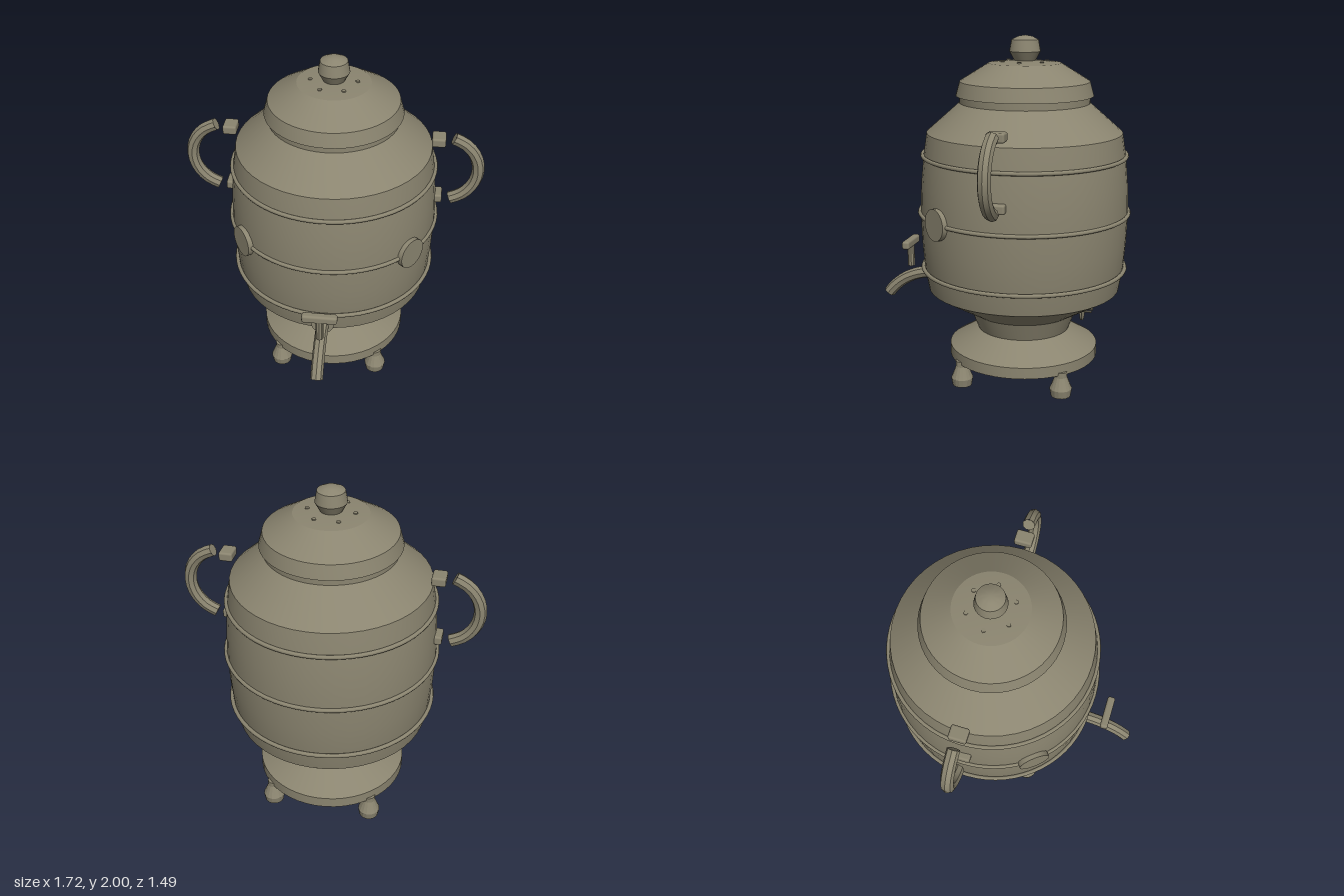
import * as THREE from 'three';
import { toCreasedNormals } from 'three/addons/utils/BufferGeometryUtils.js';
import { RoundedBoxGeometry } from 'three/addons/geometries/RoundedBoxGeometry.js';

const agedMetal = new THREE.MeshStandardMaterial({ color: 0x8b8570 });
agedMetal.name = 'agedMetal';

function add(parent, name, geometry, x = 0, y = 0, z = 0) {
  const mesh = new THREE.Mesh(geometry, agedMetal);
  mesh.name = name;
  mesh.position.set(x, y, z);
  parent.add(mesh);
  return mesh;
}

// Turned part from [radius, height] pairs, bottom to top, with sharp profile edges
function turned(points, sides = 48) {
  const profile = points.map(([r, y]) => new THREE.Vector2(r, y));
  return toCreasedNormals(new THREE.LatheGeometry(profile, sides), 0.35);
}

function disc(radius, depth, sides = 24) {
  return toCreasedNormals(new THREE.CylinderGeometry(radius, radius, depth, sides).rotateX(Math.PI / 2), 0.5);
}

// Faceted tube closed at both ends
function rod(parent, name, curve, radius, segments = 14) {
  const group = new THREE.Group();
  group.name = name;
  add(group, name + 'Tube', toCreasedNormals(new THREE.TubeGeometry(curve, segments, radius, 8), 0.5));
  for (const t of [0, 1]) {
    const p = curve.getPointAt(t);
    const dir = curve.getTangentAt(t).multiplyScalar(t ? 1 : -1);
    const cap = add(group, name + 'End', new THREE.CircleGeometry(radius, 8), p.x, p.y, p.z);
    cap.quaternion.setFromUnitVectors(new THREE.Vector3(0, 0, 1), dir);
  }
  parent.add(group);
}

export function createModel() {
  const model = new THREE.Group();
  model.name = 'urn';
  // Everything is placed around the urn's axis, which sits behind the centre
  const urn = new THREE.Group();
  urn.name = 'urnParts';
  urn.position.z = -0.13;
  model.add(urn);

  // Foot plate, waist, barrel and shoulder
  add(urn, 'base', turned([[0, 0.13], [0.435, 0.13], [0.435, 0.195], [0.27, 0.295]]));
  add(urn, 'waist', turned([[0.27, 0.295], [0.31, 0.4]]));
  add(urn, 'body', turned([
    [0.31, 0.4], [0.557, 0.545], [0.579, 0.67], [0.592, 0.83], [0.598, 1.0],
    [0.592, 1.17], [0.577, 1.33], [0.557, 1.46], [0.37, 1.625], [0.37, 1.67],
  ]));

  // Hoops
  for (const [r, y] of [[0.588, 0.67], [0.602, 1.0], [0.582, 1.33]]) {
    add(urn, 'hoop', new THREE.TorusGeometry(r, 0.012, 8, 64).rotateX(Math.PI / 2), 0, y, 0);
  }

  // Lid, knob and steam vents
  add(urn, 'lid', turned([[0.36, 1.665], [0.39, 1.665], [0.368, 1.745], [0.205, 1.846], [0, 1.866]]));
  add(urn, 'knob', turned([
    [0.058, 1.855], [0.088, 1.91], [0.076, 1.975], [0.04, 1.993], [0, 2.0],
  ], 24));
  for (let i = 0; i < 6; i++) {
    const a = (i * Math.PI) / 3;
    add(urn, 'vent', new THREE.CylinderGeometry(0.012, 0.012, 0.016, 8),
      0.13 * Math.cos(a), 1.851, 0.13 * Math.sin(a));
  }

  // Feet
  const foot = turned([
    [0, 0], [0.056, 0], [0.064, 0.045], [0.055, 0.065], [0.036, 0.115], [0.036, 0.147], [0, 0.147],
  ], 16);
  for (const x of [-0.293, 0.293]) {
    for (const z of [-0.293, 0.293]) add(urn, 'foot', foot, x, 0, z);
  }

  // Side handles, mounts and front medallions
  for (const s of [-1, 1]) {
    const arc = [];
    for (let i = 0; i <= 8; i++) {
      const a = THREE.MathUtils.degToRad(-73 + (146 * i) / 8);
      arc.push(new THREE.Vector3(s * (0.613 + 0.21 * Math.cos(a)), 1.33 + 0.21 * Math.sin(a), 0));
    }
    rod(urn, 'handle', new THREE.CatmullRomCurve3(arc), 0.036);
    for (const y of [1.145, 1.52]) {
      add(urn, 'handleMount', new RoundedBoxGeometry(0.078, 0.053, 0.1, 2, 0.012), s * 0.59, y, 0);
    }
    const turn = s * 0.9;
    const medallion = add(urn, 'medallion', disc(0.09, 0.03),
      0.605 * Math.sin(turn), 1.0, 0.605 * Math.cos(turn));
    medallion.rotation.y = turn;
  }

  // Tap: flange, curved spout and T-shaped key
  add(urn, 'tapFlange', disc(0.065, 0.03), 0, 0.585, 0.56);
  rod(urn, 'spout', new THREE.CubicBezierCurve3(
    new THREE.Vector3(0, 0.575, 0.55), new THREE.Vector3(0, 0.575, 0.67),
    new THREE.Vector3(0, 0.52, 0.78), new THREE.Vector3(0, 0.423, 0.85)), 0.036);
  add(urn, 'tapStem', toCreasedNormals(new THREE.CylinderGeometry(0.022, 0.022, 0.145, 10), 0.5), 0, 0.678, 0.705);
  add(urn, 'tapKey', new RoundedBoxGeometry(0.2, 0.05, 0.046, 2, 0.014), 0, 0.752, 0.705);

  // Rear power inlet with two pins
  add(urn, 'inletPlate', disc(0.06, 0.012), 0, 0.417, -0.355);
  for (const x of [-0.022, 0.022]) {
    add(urn, 'inletPin', disc(0.007, 0.07, 8), x, 0.418, -0.378);
  }
  return model;
}
